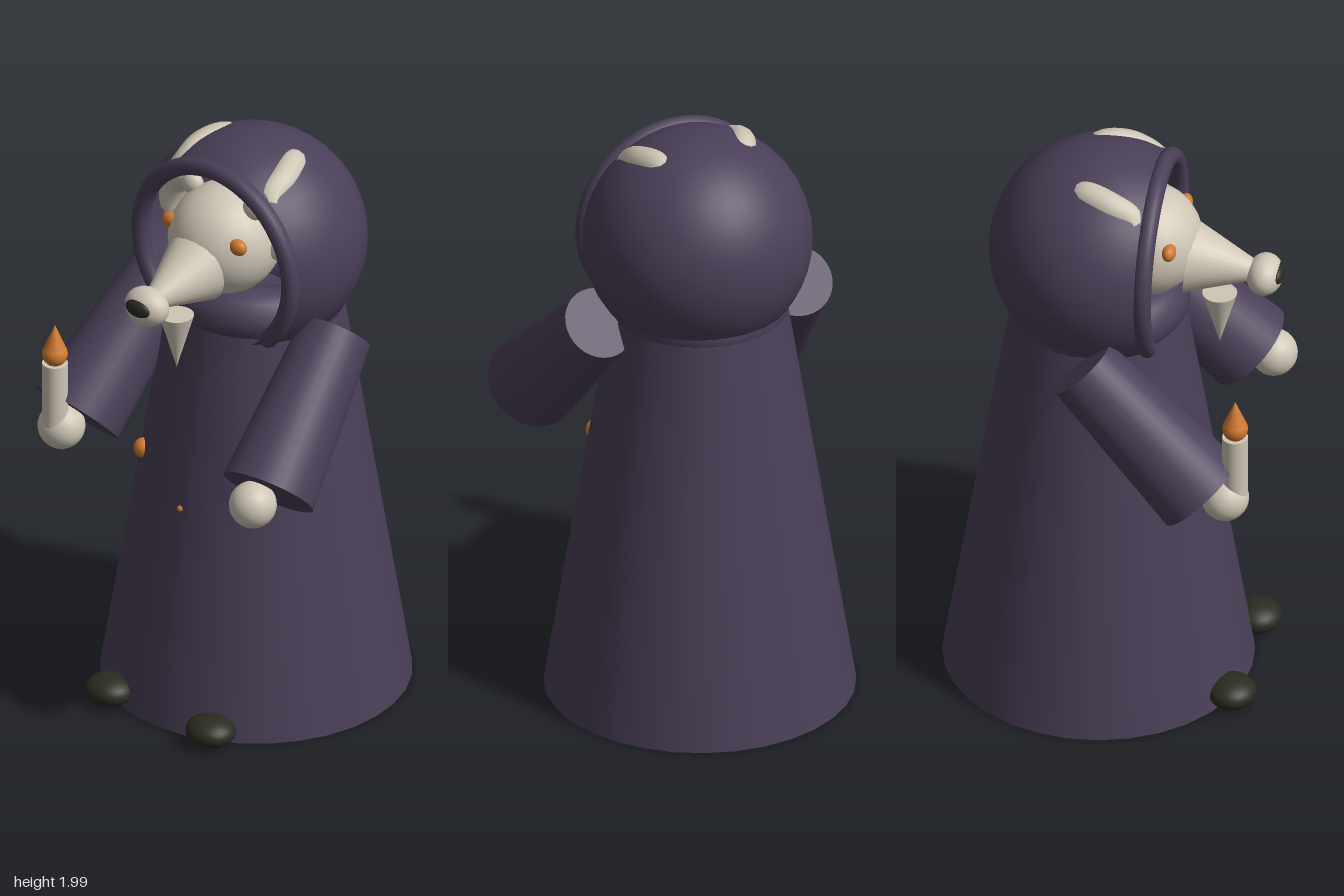
import * as THREE from 'three';

export function createModel() {
  const model = new THREE.Group();
  const mat = (name, color, side = THREE.FrontSide) => {
    const m = new THREE.MeshStandardMaterial({ color, side });
    m.name = name;
    return m;
  };
  const cloth = mat('plum cloth', 0x4a3f58, THREE.DoubleSide);
  const bone = mat('bone', 0xcfc6b5);
  const orange = mat('orange', 0xd07a30);
  const dark = mat('dark olive', 0x2a2b20);

  const add = (name, geo, material, x = 0, y = 0, z = 0) => {
    const m = new THREE.Mesh(geo, material);
    m.name = name;
    m.position.set(x, y, z);
    model.add(m);
    return m;
  };
  const ball = (name, material, x, y, z, rx, ry = rx, rz = rx) =>
    add(name, new THREE.SphereGeometry(1, 28, 18).scale(rx, ry, rz), material, x, y, z);

  // Cylinder or cone running from point a (radius ra) to point b (radius rb)
  const limb = (name, material, a, b, ra, rb) => {
    const from = new THREE.Vector3(...a), to = new THREE.Vector3(...b);
    const dir = to.clone().sub(from);
    const mid = from.add(to).multiplyScalar(0.5);
    const m = add(name, new THREE.CylinderGeometry(rb, ra, dir.length(), 32), material, mid.x, mid.y, mid.z);
    m.quaternion.setFromUnitVectors(new THREE.Vector3(0, 1, 0), dir.normalize());
    return m;
  };

  // Robe and collar
  limb('robe', cloth, [0, 0.01, -0.055], [0, 1.42, -0.055], 0.507, 0.28);
  const collar = add('collar', new THREE.TorusGeometry(0.2, 0.095, 16, 40), cloth, 0, 1.42, -0.05);
  collar.rotation.x = Math.PI / 2 - 0.1;

  // Hood: a sphere with its front cut off, plus a horseshoe rim
  const hood = new THREE.SphereGeometry(0.374, 40, 28, 0, Math.PI * 2, 0.97, Math.PI - 0.97);
  add('hood', hood.rotateX(Math.PI / 2), cloth, 0, 1.626, -0.036);
  const sweep = 1.5 * Math.PI;
  const rim = new THREE.TorusGeometry(0.317, 0.03, 14, 48, sweep);
  add('hoodRim', rim.rotateZ(Math.PI / 2 - sweep / 2), cloth, 0, 1.626, 0.15);
  for (const s of [-1, 1]) {
    const a = Math.PI / 2 + s * sweep / 2;
    ball('rimEnd', cloth, 0.317 * Math.cos(a), 1.626 + 0.317 * Math.sin(a), 0.15, 0.03);
  }

  // Head, muzzle, nose and beard
  ball('head', bone, 0, 1.68, 0.1, 0.187);
  limb('snout', bone, [0, 1.627, 0.25], [0, 1.598, 0.47], 0.12, 0.03);
  ball('muzzle', bone, 0, 1.59, 0.494, 0.08, 0.066, 0.06);
  ball('nose', dark, 0, 1.6, 0.54, 0.05, 0.03, 0.02);
  limb('beard', bone, [0, 1.3, 0.345], [0, 1.495, 0.345], 0, 0.057);

  for (const s of [-1, 1]) {
    ball('eye', orange, s * 0.14, 1.735, 0.205, 0.035, 0.028, 0.023);
    ball('ear', bone, s * 0.13, 1.835, 0.11, 0.04, 0.04, 0.03);

    // Curled horn, breaking through the top of the hood
    const path = new THREE.CatmullRomCurve3([
      [0.1, 1.81, 0.03], [0.115, 1.88, -0.09], [0.138, 1.924, -0.074], [0.171, 1.918, 0.01],
      [0.179, 1.872, 0.088], [0.24, 1.78, 0.06], [0.25, 1.69, 0.05], [0.16, 1.69, 0.04],
    ].map(([x, y, z]) => new THREE.Vector3(s * x, y, z)));
    add('horn', new THREE.TubeGeometry(path, 48, 0.05, 14), bone);

    // Sleeve, hand, foot and clasp
    limb('sleeve', cloth, [s * 0.35, 1.39, -0.04], [s * 0.405, 0.99, 0.365], 0.12, 0.157);
    ball('hand', bone, s * 0.405, 0.978, 0.443, 0.078);
    ball('foot', dark, s * 0.213, 0.06, 0.427, 0.084, 0.05, 0.08);
    ball('clasp', orange, s * 0.25, 0.852, 0.215, 0.032, 0.034, 0.032);
  }
  ball('button', orange, 0, 0.765, 0.325, 0.012);

  // Candle with its flame
  limb('candle', bone, [-0.405, 1.0, 0.476], [-0.405, 1.225, 0.476], 0.042, 0.042);
  ball('flame', orange, -0.405, 1.258, 0.476, 0.042);
  limb('flameTip', orange, [-0.405, 1.28, 0.476], [-0.405, 1.365, 0.476], 0.036, 0);

  return model;
}
